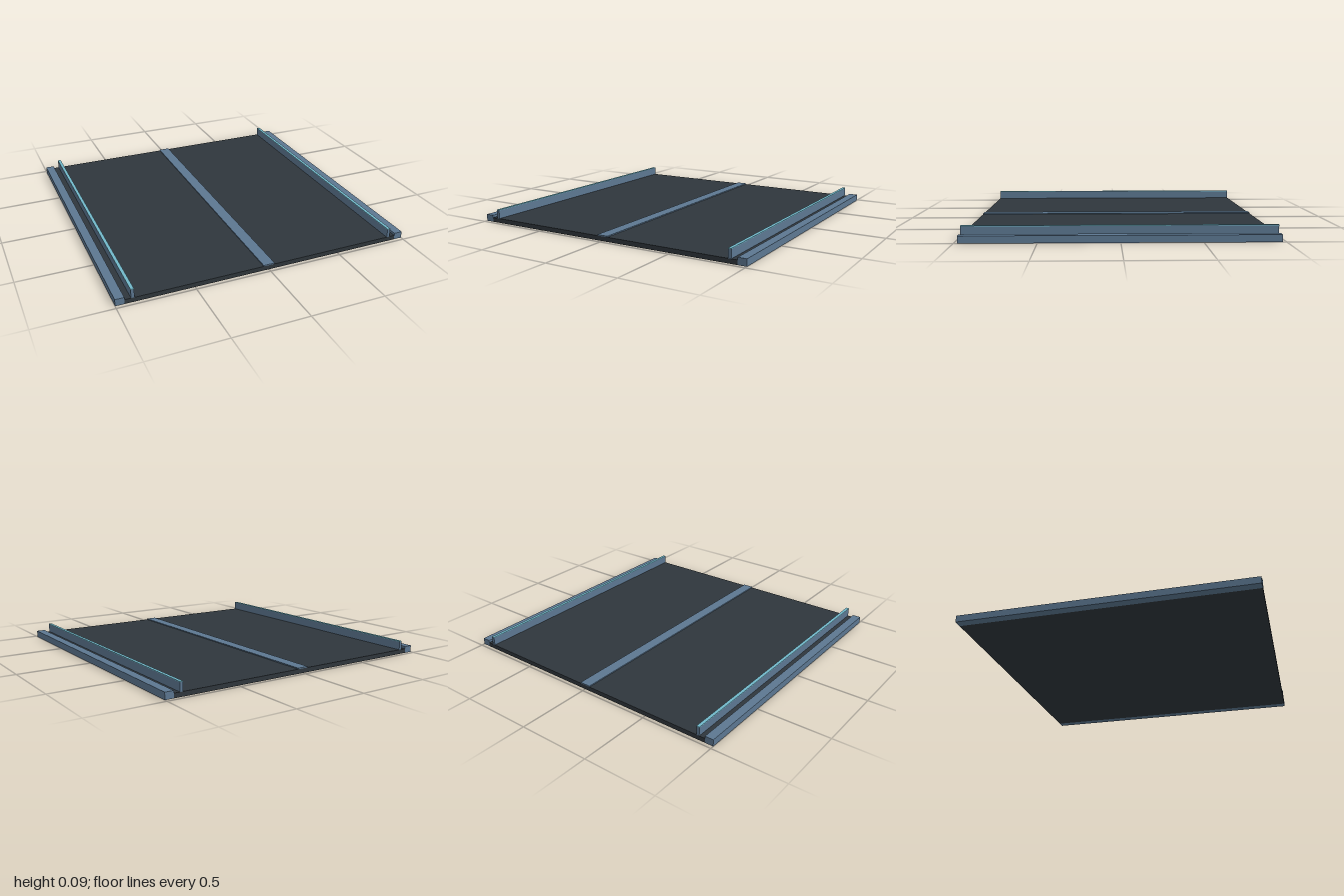
import * as THREE from 'three';

export function createModel() {
  const group = new THREE.Group();
  const material = (name, color) => {
    const m = new THREE.MeshStandardMaterial({ color });
    m.name = name;
    return m;
  };
  const deckGrey = material('deckGrey', 0x2f363c);
  const steelBlue = material('steelBlue', 0x5c7791);
  const paleCyan = material('paleCyan', 0x72b8ca);
  const length = 1.952;

  // A full-length bar spanning x0..x1 and y0..y1
  const bar = (name, mat, x0, x1, y0, y1) => {
    const mesh = new THREE.Mesh(new THREE.BoxGeometry(x1 - x0, y1 - y0, length), mat);
    mesh.position.set((x0 + x1) / 2, (y0 + y1) / 2, 0);
    mesh.name = name;
    group.add(mesh);
  };

  // Flat deck with a raised centre strip
  bar('deck', deckGrey, -0.942, 0.942, 0, 0.03);
  bar('centreStrip', steelBlue, -0.038, 0.038, 0.03, 0.037);

  // Edge curbs and thin upright rails with a bright cap, mirrored
  for (const [side, s] of [['left', 1], ['right', -1]]) {
    const sideBar = (name, mat, a, b, y0, y1) =>
      bar(side + name, mat, Math.min(s * a, s * b), Math.max(s * a, s * b), y0, y1);
    sideBar('Curb', steelBlue, 0.942, 1, 0, 0.046);
    sideBar('Rail', steelBlue, 0.881, 0.902, 0.03, 0.086);
    sideBar('RailCap', paleCyan, 0.881, 0.902, 0.086, 0.091);
  }
  return group;
}
